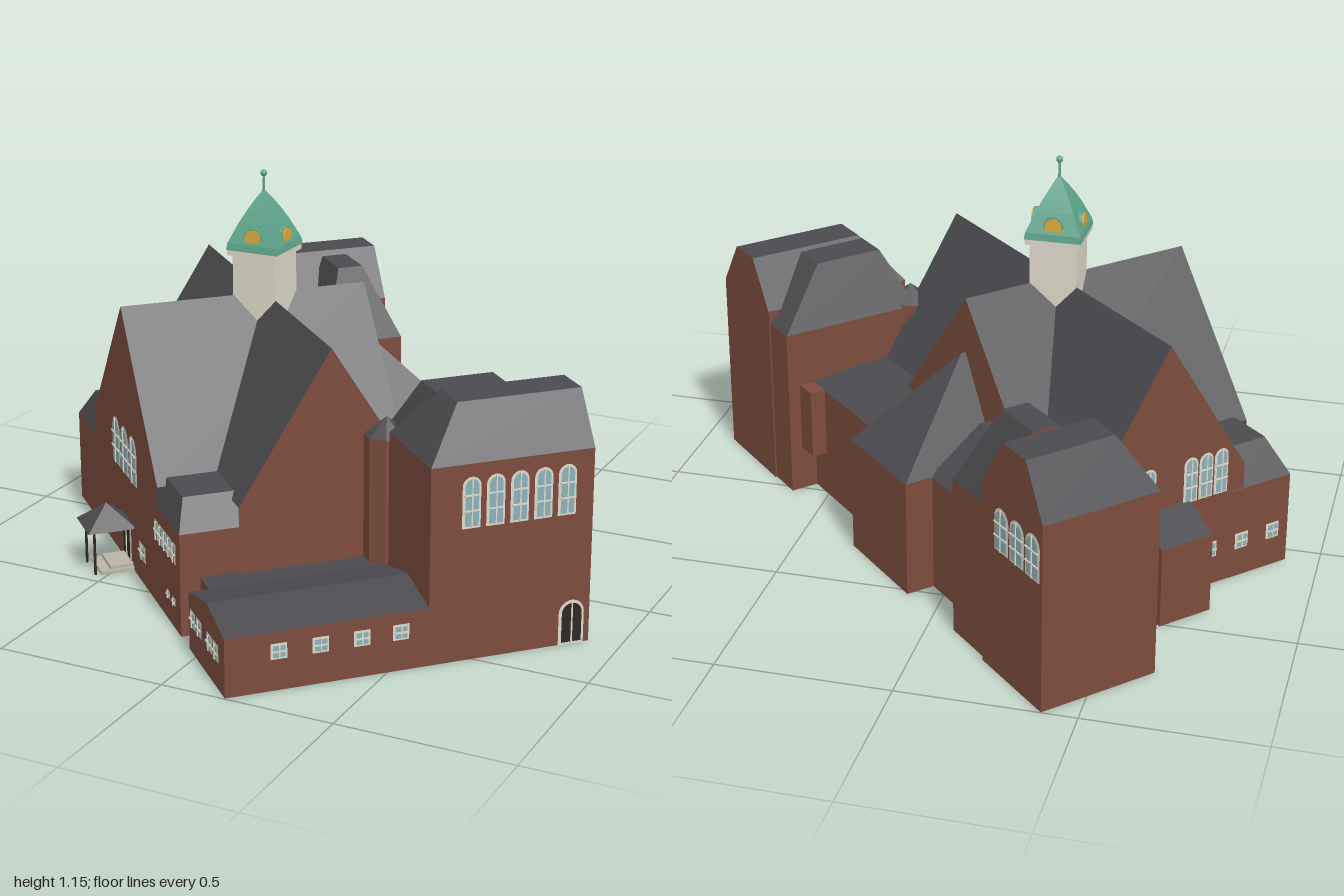
import * as THREE from 'three';

const mat = (color) => new THREE.MeshStandardMaterial({ color, flatShading: true, side: THREE.DoubleSide });
const BRICK = mat(0x7d4c3d), SLATE = mat(0x4b4b4f), CREAM = mat(0xdeDACA), COPPER = mat(0x5fa58c);
const GLASS = mat(0x8bb0bc), GOLD = mat(0xe0ac3a), DARK = mat(0x2f2722), STONE = mat(0xb9b4a4);

function add(parent, name, geo, material, x = 0, y = 0, z = 0) {
  const m = new THREE.Mesh(geo, material);
  m.name = name;
  m.position.set(x, y, z);
  parent.add(m);
  return m;
}

function quads(list) {
  const p = [];
  for (const [a, b, c, d] of list) p.push(...a, ...b, ...c, ...a, ...c, ...d);
  const g = new THREE.BufferGeometry();
  g.setAttribute('position', new THREE.Float32BufferAttribute(p, 3));
  g.computeVertexNormals();
  return g;
}

// Rectangle corners, counter-clockwise seen from above: [x0, x1, z0, z1] at height y
const ring = ([x0, x1, z0, z1], y) => [[x0, y, z1], [x1, y, z1], [x1, y, z0], [x0, y, z0]];

// Walled block whose roof runs from the eave rectangle up to a smaller top rectangle.
// Sides that stay vertical become brick gables; sides listed in open have no wall below
// the eave because they lie inside a neighbour (0 front, 1 right, 2 back, 3 left).
function block(parent, name, base, eave, top, ridge, open = []) {
  const g = new THREE.Group();
  g.name = name;
  const a = ring(base, 0), b = ring(base, eave), c = ring(top, ridge);
  const upright = [base[3] === top[3], base[1] === top[1], base[2] === top[2], base[0] === top[0]];
  const walls = [], roof = [c];
  for (let i = 0; i < 4; i++) {
    const j = (i + 1) % 4;
    if (!open.includes(i)) walls.push([a[i], a[j], b[j], b[i]]);
    (upright[i] ? walls : roof).push([b[i], b[j], c[j], c[i]]);
  }
  add(g, name + 'Walls', quads(walls), BRICK);
  add(g, name + 'Roof', quads(roof), SLATE);
  parent.add(g);
}

function opening(w, h, arched) {
  const s = new THREE.Shape();
  s.moveTo(-w / 2, 0);
  s.lineTo(w / 2, 0);
  if (arched) s.absarc(0, h - w / 2, w / 2, 0, Math.PI, false);
  else { s.lineTo(w / 2, h); s.lineTo(-w / 2, h); }
  s.closePath();
  return new THREE.ShapeGeometry(s, 8);
}

// Window or door placed on a wall: side 0 faces +z, 1 +x, 2 -z, 3 -x
function pane(parent, name, side, wall, along, y, w, h, arched = false, fill = GLASS) {
  const g = new THREE.Group();
  g.name = name;
  add(g, 'frame', opening(w, h, arched), CREAM, 0, 0, 0.003);
  const t = Math.min(0.008, w * 0.13);
  add(g, 'panel', opening(w - 2 * t, h - 2 * t, arched), fill, 0, t, 0.006);
  add(g, 'mullion', new THREE.BoxGeometry(0.004, h - t, 0.004), CREAM, 0, h / 2, 0.007);
  if (fill === GLASS) {
    for (const k of arched ? [0.35, 0.65] : [0.5])
      add(g, 'crossbar', new THREE.BoxGeometry(w - t, 0.004, 0.004), CREAM, 0, h * k, 0.007);
  }
  g.rotation.y = side * Math.PI / 2;
  if (side % 2) g.position.set(wall, y, along);
  else g.position.set(along, y, wall);
  parent.add(g);
}

// Eight-sided bay with a shallow pointed roof
function bay(parent, name, x, z, r, h, peak) {
  const body = add(parent, name, new THREE.CylinderGeometry(r, r, h, 8, 1, true), BRICK, x, h / 2, z);
  const roof = add(parent, name + 'Roof', new THREE.ConeGeometry(r, peak - h, 8, 1, true), SLATE, x, (h + peak) / 2, z);
  body.rotation.y = roof.rotation.y = Math.PI / 8;
}

function buildTower() {
  const t = new THREE.Group();
  t.name = 'tower';
  add(t, 'towerShaft', new THREE.BoxGeometry(0.136, 0.27, 0.136), CREAM, 0, 0.785, 0);
  add(t, 'cornice', new THREE.BoxGeometry(0.16, 0.016, 0.16), CREAM, 0, 0.914, 0);
  // Four-sided curved copper roof
  const profile = [[0.082, 0.922], [0.079, 0.942], [0.069, 0.965], [0.054, 1.0], [0.036, 1.035], [0.019, 1.065], [0.004, 1.088]]
    .map(([r, y]) => new THREE.Vector2(r * Math.SQRT2, y));
  add(t, 'copperRoof', new THREE.LatheGeometry(profile, 4, Math.PI / 4), COPPER);
  for (let i = 0; i < 4; i++) {
    const dial = new THREE.Group();
    dial.name = 'dial';
    const hood = add(dial, 'dialHood', new THREE.CylinderGeometry(0.029, 0.029, 0.022, 20), COPPER, 0, 0.962, 0.061);
    const face = add(dial, 'dialFace', new THREE.CylinderGeometry(0.025, 0.025, 0.005, 20), GOLD, 0, 0.962, 0.073);
    hood.rotation.x = face.rotation.x = Math.PI / 2;
    dial.rotation.y = i * Math.PI / 2;
    t.add(dial);
  }
  add(t, 'finialRod', new THREE.CylinderGeometry(0.003, 0.004, 0.06, 8), COPPER, 0, 1.11, 0);
  add(t, 'finialBall', new THREE.SphereGeometry(0.01, 12, 8), COPPER, 0, 1.14, 0);
  return t;
}

export function createModel() {
  const model = new THREE.Group();
  model.name = 'building';
  const b = new THREE.Group(); // everything except the tower stands diagonally
  b.name = 'diagonalBuilding';
  b.rotation.y = THREE.MathUtils.degToRad(-44);
  model.add(b);

  // Crossing main roofs with steep gables
  block(b, 'frontBackHall', [-0.478, 0.218, -0.155, 0.587], 0.36, [-0.13, -0.13, -0.155, 0.587], 0.785, [1, 2, 3]);
  block(b, 'crossHall', [-0.688, 0.44, -0.115, 0.421], 0.36, [-0.688, 0.44, 0.153, 0.153], 0.785, [0]);
  // Low corner blocks beside the front gable
  block(b, 'rightCorner', [0.1, 0.43, 0.38, 0.587], 0.3, [0.17, 0.36, 0.38, 0.555], 0.38, [2, 3]);
  block(b, 'leftCorner', [-0.689, -0.35, 0.38, 0.587], 0.28, [-0.61, -0.35, 0.38, 0.55], 0.375, [1, 2]);
  // Hipped back wing and its flanks
  block(b, 'backWing', [-0.29, 0.03, -0.445, -0.1], 0.35, [-0.13, -0.13, -0.17, -0.1], 0.62, [0]);
  block(b, 'backLeftFlank', [-0.53, -0.28, -0.36, -0.08], 0.35, [-0.36, -0.28, -0.2, -0.08], 0.47, [0, 1]);
  block(b, 'backRightFlank', [0.02, 0.44, -0.36, -0.08], 0.35, [0.02, 0.44, -0.2, -0.08], 0.37, [0, 1, 3]);
  add(b, 'backOriel', new THREE.BoxGeometry(0.075, 0.21, 0.05), BRICK, 0.39, 0.245, -0.382);
  // Tall right wing
  block(b, 'rightWing', [0.53, 0.828, -0.45, 0.02], 0.56, [0.625, 0.735, -0.45, -0.09], 0.7);
  block(b, 'rightWingArm', [0.424, 0.64, -0.445, 0.0], 0.52, [0.51, 0.64, -0.29, -0.08], 0.69, [1]);
  bay(b, 'rightBay', 0.46, 0.0, 0.065, 0.53, 0.58);
  // Tall left wing at the back
  block(b, 'leftWing', [-0.982, -0.69, -0.44, -0.08], 0.55, [-0.9, -0.79, -0.44, -0.17], 0.7);
  block(b, 'leftWingArm', [-0.76, -0.52, -0.43, -0.18], 0.47, [-0.76, -0.61, -0.33, -0.25], 0.69, [3]);
  bay(b, 'leftBay', -0.63, -0.17, 0.1, 0.48, 0.56);
  // Low front annex, its link and the small side annex
  block(b, 'lowAnnex', [0.51, 0.828, 0.02, 0.587], 0.167, [0.675, 0.675, 0.02, 0.587], 0.205, [2]);
  block(b, 'annexLink', [0.42, 0.52, 0.0, 0.53], 0.165, [0.42, 0.52, 0.0, 0.53], 0.168, [1, 2, 3]);
  block(b, 'sideAnnex', [-0.8, -0.68, 0.064, 0.234], 0.24, [-0.68, -0.68, 0.064, 0.234], 0.3, [1]);

  // Front windows
  for (const x of [-0.212, -0.121, -0.03]) pane(b, 'gableWindow', 0, 0.587, x, 0.28, 0.084, 0.145, true);
  pane(b, 'smallWindow', 0, 0.587, -0.246, 0.075, 0.05, 0.05);
  pane(b, 'smallWindow', 0, 0.587, 0.05, 0.075, 0.07, 0.05);
  for (let i = 0; i < 5; i++) pane(b, 'cornerWindow', 0, 0.587, 0.21 + i * 0.043, 0.2, 0.038, 0.06);
  for (const x of [0.32, 0.375]) pane(b, 'tinyWindow', 0, 0.587, x, 0.07, 0.026, 0.025);
  for (const x of [0.555, 0.612, 0.706, 0.762]) pane(b, 'annexWindow', 0, 0.587, x, 0.08, 0.048, 0.05);
  // Right side windows and door
  for (const z of [0.44, 0.325, 0.21, 0.1]) pane(b, 'annexSideWindow', 1, 0.828, z, 0.09, 0.046, 0.045);
  for (let i = 0; i < 5; i++) pane(b, 'rightWingWindow', 1, 0.828, -0.095 - i * 0.069, 0.38, 0.053, 0.145, true);
  pane(b, 'sideDoor', 1, 0.828, -0.395, 0, 0.075, 0.13, true, DARK);
  // Back and left side windows
  for (let i = 0; i < 3; i++) pane(b, 'leftWingWindow', 2, -0.44, -0.94 + i * 0.075, 0.38, 0.068, 0.13, true);
  for (const c of [0.04, 0.285])
    for (const d of [-0.052, 0, 0.052]) pane(b, 'sideGableWindow', 3, -0.688, c + d, 0.29, 0.047, 0.14, true);
  for (const z of [0.31, 0.42, 0.53]) pane(b, 'leftSmallWindow', 3, -0.689, z, 0.09, 0.045, 0.05);

  // Entrance porch with pyramid roof
  const porch = new THREE.Group();
  porch.name = 'porch';
  porch.position.set(-0.114, 0, 0.652);
  b.add(porch);
  const cap = add(porch, 'porchRoof', new THREE.ConeGeometry(0.072 * Math.SQRT2, 0.065, 4, 1, true), SLATE, 0, 0.168, 0);
  cap.rotation.y = Math.PI / 4;
  for (const s of [-1, 1])
    add(porch, 'porchPost', new THREE.CylinderGeometry(0.004, 0.004, 0.136, 8), DARK, s * 0.05, 0.068, 0.05);
  add(porch, 'lowerStep', new THREE.BoxGeometry(0.12, 0.01, 0.1), STONE, 0, 0.005, -0.015);
  add(porch, 'upperStep', new THREE.BoxGeometry(0.1, 0.01, 0.07), STONE, 0, 0.015, -0.03);
  pane(b, 'frontDoor', 0, 0.587, -0.114, 0.02, 0.085, 0.12, false, DARK);

  // Tower over the roof crossing, square to the axes
  const tower = buildTower();
  tower.position.set(-0.2, 0, 0.02);
  model.add(tower);
  return model;
}
